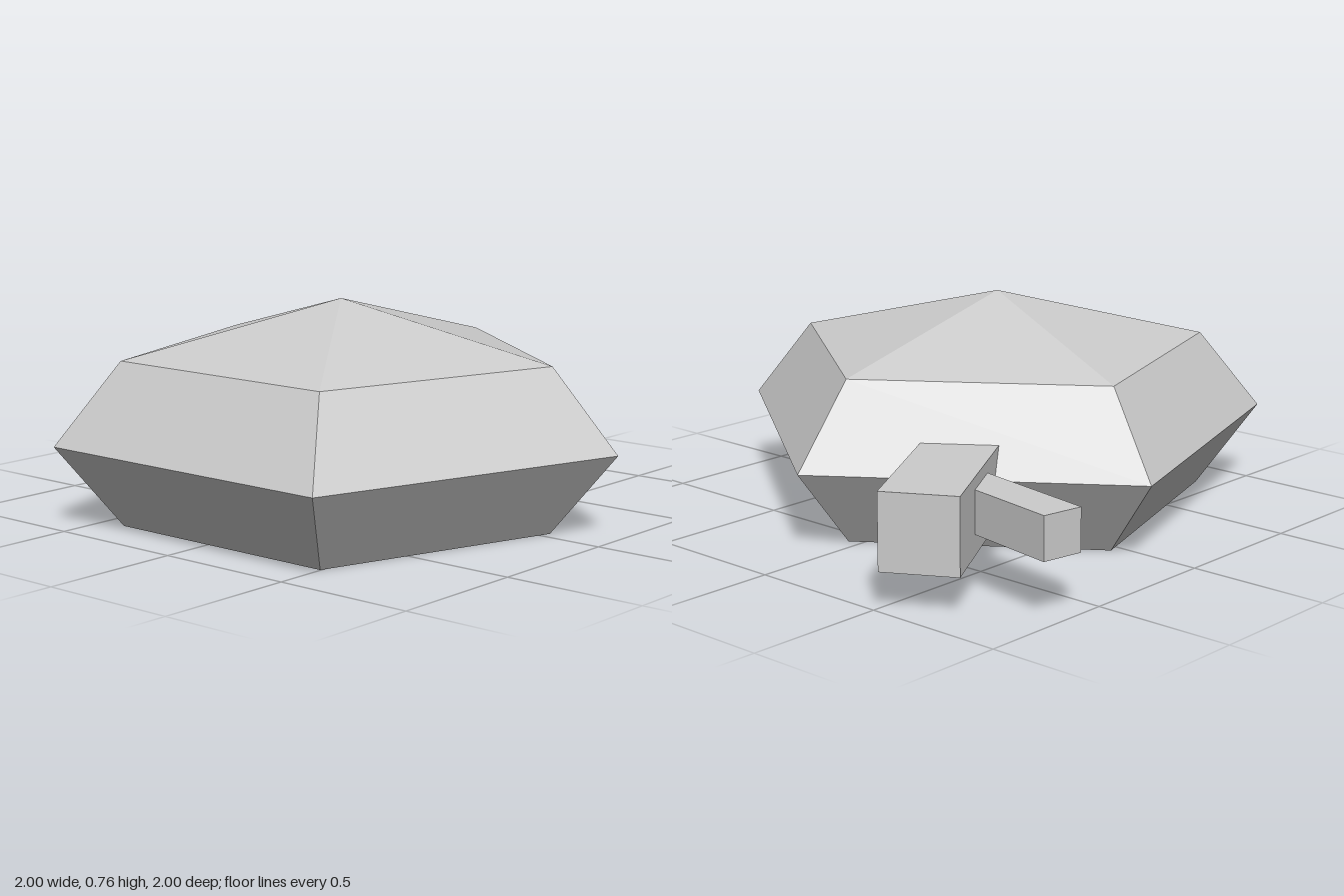
import * as THREE from 'three';

const material = new THREE.MeshStandardMaterial({ color: 0xcccccc, flatShading: true });

// Square bar lying flat: ends at (x, z), points outward along the angle, centred on height y
function bar(name, length, width, x, y, z, degrees) {
  const a = THREE.MathUtils.degToRad(degrees);
  const mesh = new THREE.Mesh(new THREE.BoxGeometry(length, width, width), material);
  mesh.name = name;
  mesh.position.set(x - Math.cos(a) * length / 2, y, z + Math.sin(a) * length / 2);
  mesh.rotation.y = a;
  return mesh;
}

export function createModel() {
  const model = new THREE.Group();
  model.name = 'model';

  // Five-sided faceted body: flat base, wide waist, shoulder and pointed crown
  const profile = [[0, 0], [0.765, 0], [0.997, 0.287], [0.765, 0.573], [0, 0.763]]
    .map(([r, y]) => new THREE.Vector2(r, y));
  const body = new THREE.Mesh(new THREE.LatheGeometry(profile, 5, Math.PI / 2), material);
  body.name = 'body';
  body.position.set(-0.195, 0, 0.047);
  model.add(body);

  // Thick stem leaving the back left face, with a thinner side branch
  model.add(bar('stem', 0.8, 0.262, 0.932, 0.26, -0.632, 30));
  model.add(bar('branch', 0.56, 0.148, 0.667, 0.275, -0.987, 80));

  return model;
}
